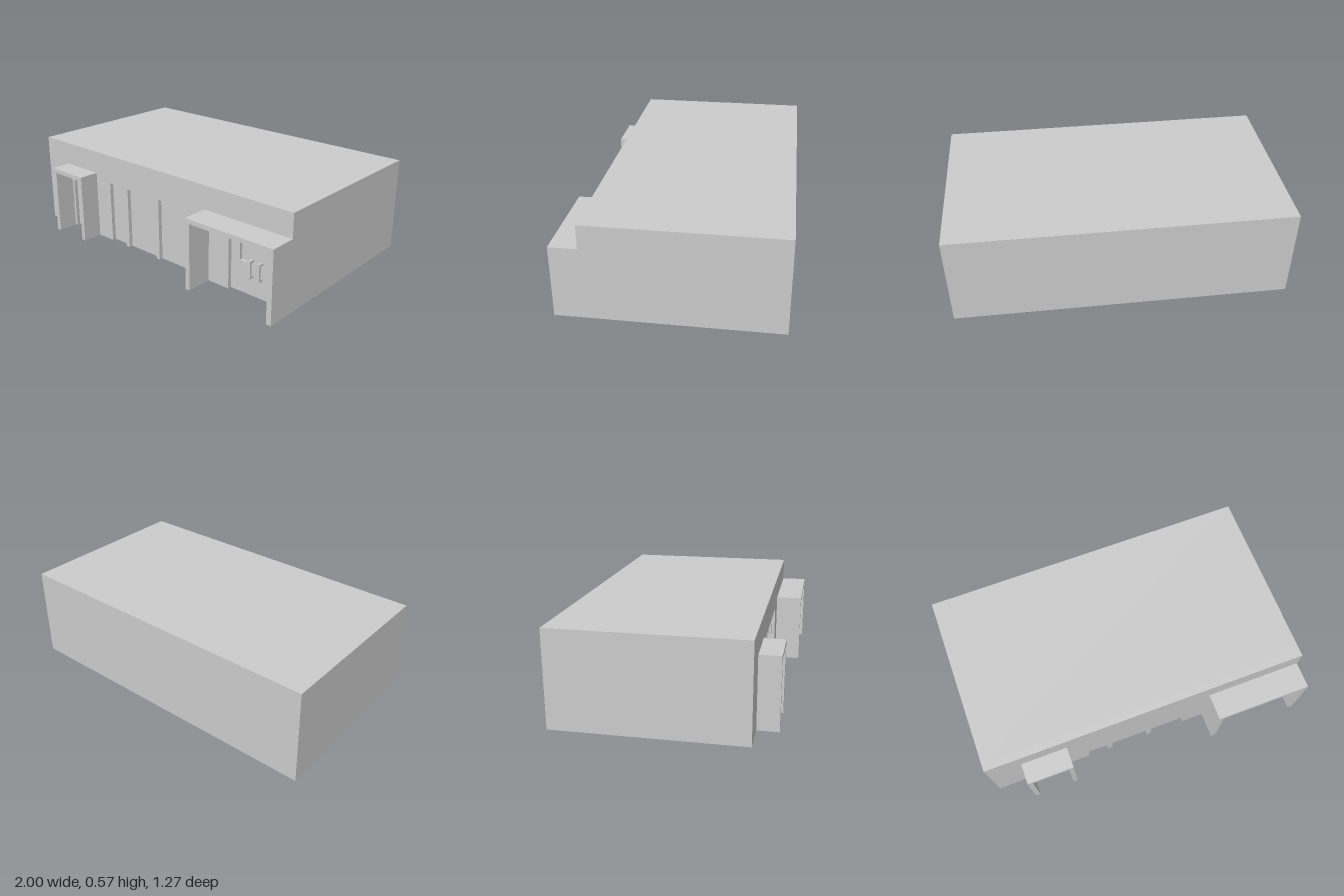
import * as THREE from 'three';

const material = new THREE.MeshStandardMaterial({ color: 0xcccccc });

// Upright slab with openings cut up from the ground and rectangular holes
function wall(name, x0, x1, top, zBack, zFront, openings, holes = []) {
  const shape = new THREE.Shape();
  shape.moveTo(x0, 0);
  for (const [a, b, h] of openings) {
    shape.lineTo(a, 0);
    shape.lineTo(a, h);
    shape.lineTo(b, h);
    shape.lineTo(b, 0);
  }
  shape.lineTo(x1, 0);
  shape.lineTo(x1, top);
  shape.lineTo(x0, top);
  shape.closePath();
  for (const [a, b, y0, y1] of holes) {
    const hole = new THREE.Path();
    hole.moveTo(a, y0);
    hole.lineTo(a, y1);
    hole.lineTo(b, y1);
    hole.lineTo(b, y0);
    hole.closePath();
    shape.holes.push(hole);
  }
  const geometry = new THREE.ExtrudeGeometry(shape, { depth: zFront - zBack, bevelEnabled: false });
  geometry.translate(0, 0, zBack);
  const mesh = new THREE.Mesh(geometry, material);
  mesh.name = name;
  return mesh;
}

// Box given by its limits
function block(name, x0, x1, y0, y1, z0, z1) {
  const mesh = new THREE.Mesh(new THREE.BoxGeometry(x1 - x0, y1 - y0, z1 - z0), material);
  mesh.position.set((x0 + x1) / 2, (y0 + y1) / 2, (z0 + z1) / 2);
  mesh.name = name;
  return mesh;
}

// Pull handle: upright grip on two short posts
function pullHandle(x, zDoor) {
  const group = new THREE.Group();
  group.name = 'doorHandle';
  const half = 0.007, y0 = 0.115, y1 = 0.222;
  group.add(block('handleGrip', x - half, x + half, y0, y1, zDoor + 0.02, zDoor + 0.034));
  for (const y of [y0, y1 - 0.014]) {
    group.add(block('handlePost', x - half, x + half, y, y + 0.014, zDoor, zDoor + 0.02));
  }
  return group;
}

export function createModel() {
  const model = new THREE.Group();
  model.name = 'building';
  const height = 0.572, back = -0.635, core = 0.43, door = 0.45, front = 0.474;

  // Main hall
  model.add(block('hall', -1, 1, 0, height, back, core));

  // Door leaves, with recessed panes
  model.add(wall('doorLayer', -1, 1, height, core, door, [], [
    [-0.685, -0.62, 0.19, 0.322],
    [0.645, 0.695, 0.19, 0.322],
    [0.84, 0.888, 0.19, 0.322],
  ]));

  // Facade with door and shop window openings
  model.add(wall('facade', -1, 1, height, door, front, [
    [-0.75, -0.555, 0.39],
    [-0.385, -0.257, 0.39],
    [-0.225, 0.017, 0.39],
    [0.043, 0.269, 0.39],
    [0.585, 0.955, 0.39],
  ]));

  // Projecting entrance surrounds
  model.add(wall('smallEntrance', -0.797, -0.512, 0.43, front, 0.6, [[-0.767, -0.541, 0.403]]));
  model.add(wall('largeEntrance', 0.41, 1, 0.43, front, 0.635, [[0.44, 0.969, 0.403]]));

  for (const x of [-0.6, 0.736, 0.798]) model.add(pullHandle(x, door));

  return model;
}
